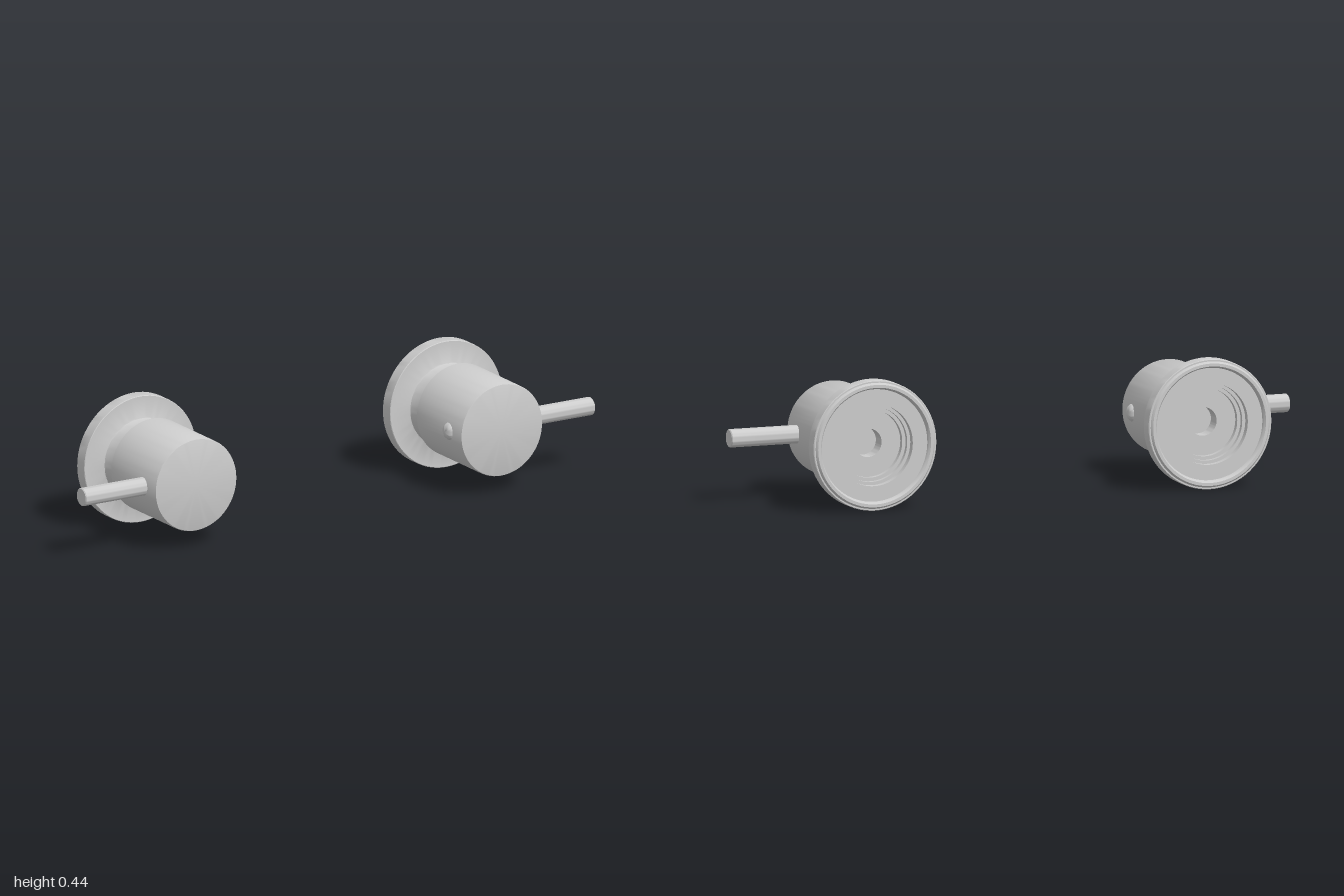
import * as THREE from 'three';
import { toCreasedNormals } from 'three/addons/utils/BufferGeometryUtils.js';

const material = new THREE.MeshStandardMaterial({ color: 0xcccccc });

// Turned part from [radius, height] pairs, running outward from the axis and up
function turned(name, profile, segments) {
  const points = profile.map(([r, h]) => new THREE.Vector2(r, h));
  const geometry = toCreasedNormals(new THREE.LatheGeometry(points, segments), 0.6);
  const mesh = new THREE.Mesh(geometry, material);
  mesh.name = name;
  return mesh;
}

function createValve(side) {
  const valve = new THREE.Group();
  valve.name = side > 0 ? 'leftValve' : 'rightValve';

  // Wall flange with raised back lip, stepped recess and bore, plus the neck
  const flange = turned('flangeAndNeck', [
    [0, -0.08], [0.048, -0.08], [0.048, -0.132],
    [0.115, -0.132], [0.115, -0.15], [0.127, -0.15], [0.127, -0.165],
    [0.138, -0.165], [0.138, -0.188], [0.19, -0.188], [0.193, -0.2],
    [0.197, -0.204], [0.207, -0.204], [0.211, -0.2], [0.213, -0.196],
    [0.218, -0.196], [0.22, -0.194], [0.22, -0.15], [0.218, -0.148],
    [0.146, -0.148], [0.142, -0.146], [0.14, -0.142], [0.14, -0.07],
  ], 72);
  flange.rotation.x = Math.PI / 2;

  // Cylindrical handle body
  const body = turned('handleBody', [
    [0, -0.075], [0.16, -0.075], [0.16, 0.2], [0.158, 0.204], [0.155, 0.205], [0, 0.205],
  ], 72);
  body.rotation.x = Math.PI / 2;

  // Lever pin through the body, domed on the inner end
  const lever = turned('lever', [
    [0, -0.175], [0.012, -0.173], [0.022, -0.168], [0.029, -0.159], [0.031, -0.148],
    [0.031, 0.397], [0.028, 0.4], [0, 0.4],
  ], 32);
  lever.rotation.z = -side * Math.PI / 2;
  lever.position.z = 0.122;

  valve.add(flange, body, lever);
  valve.position.set(side * 0.6, 0.22, 0);
  return valve;
}

export function createModel() {
  const model = new THREE.Group();
  model.name = 'valvePair';
  for (const side of [-1, 1]) model.add(createValve(side));
  return model;
}
